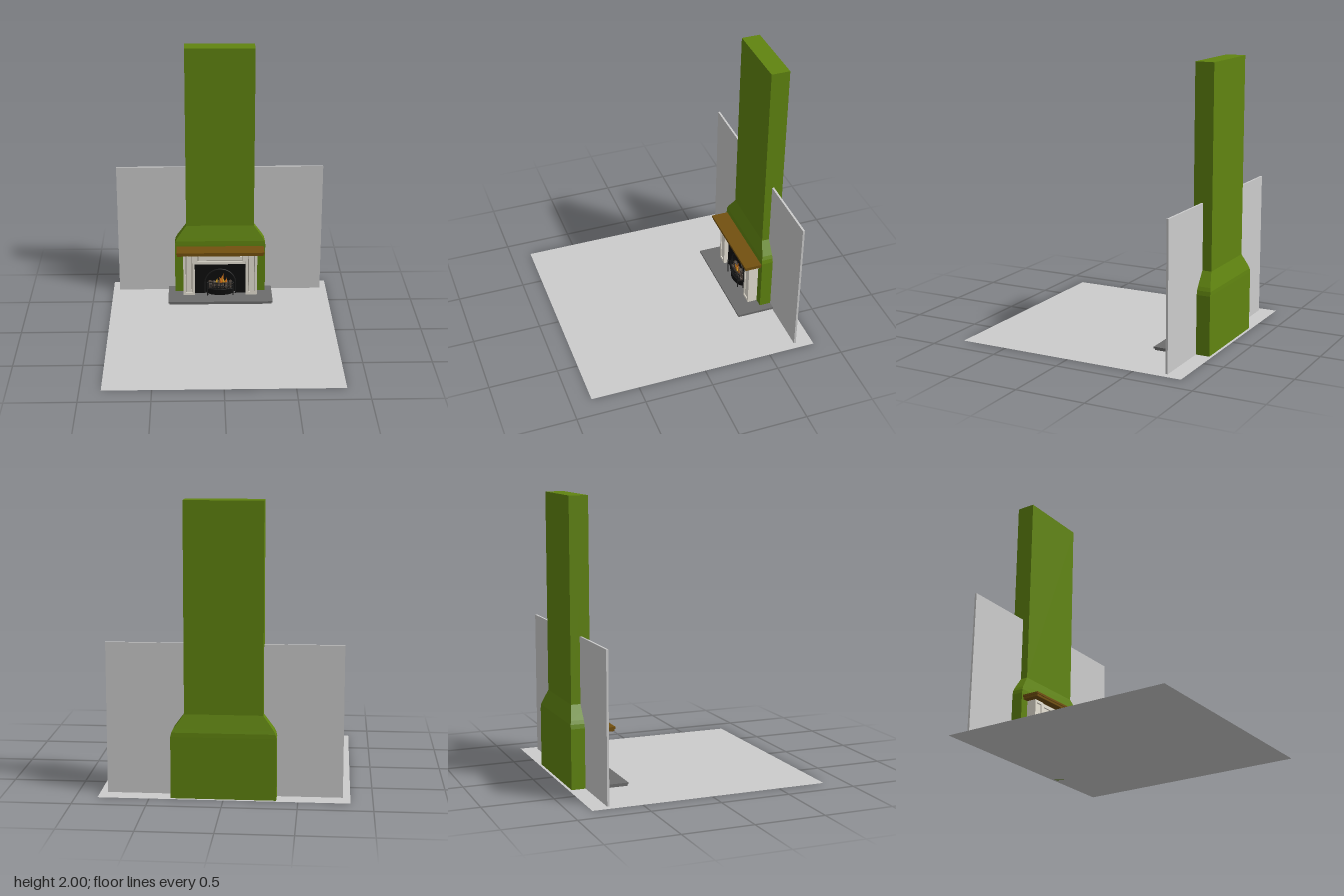
import * as THREE from 'three';

const mat = (color, opts = {}) => new THREE.MeshStandardMaterial({ color, ...opts });
const GREY = mat(0xcccccc, { side: THREE.DoubleSide });
const GREEN = mat(0x608410, { flatShading: true });
const WOOD = mat(0x73500f);
const SLATE = mat(0x6c6c6c);
const CREAM = mat(0xe8e3d6);
const GROOVE = mat(0x9d988c);
const BLACK = mat(0x0e0e0e, { side: THREE.DoubleSide });
const IRON = mat(0x1c1c1c);
const COAL = mat(0x4a4038, { flatShading: true });

function add(parent, name, geometry, material, x = 0, y = 0, z = 0) {
  const mesh = new THREE.Mesh(geometry, material);
  mesh.name = name;
  mesh.position.set(x, y, z);
  parent.add(mesh);
  return mesh;
}

// Box given by its limits on each axis
function box(parent, name, material, [x0, x1], [y0, y1], [z0, z1]) {
  return add(parent, name, new THREE.BoxGeometry(x1 - x0, y1 - y0, z1 - z0), material,
    (x0 + x1) / 2, (y0 + y1) / 2, (z0 + z1) / 2);
}

// Closed loft through rectangular sections [y, halfWidth, zFront, zBack]
function loftRects(sections) {
  const pos = [], idx = [];
  for (const [y, w, f, b] of sections) pos.push(-w, y, f, w, y, f, w, y, b, -w, y, b);
  const n = sections.length;
  for (let i = 0; i < n - 1; i++) {
    for (let j = 0; j < 4; j++) {
      const a = i * 4 + j, b = i * 4 + (j + 1) % 4;
      idx.push(a, b, b + 4, a, b + 4, a + 4);
    }
  }
  const t = (n - 1) * 4;
  idx.push(t, t + 1, t + 2, t, t + 2, t + 3, 0, 2, 1, 0, 3, 2);
  const g = new THREE.BufferGeometry();
  g.setAttribute('position', new THREE.Float32BufferAttribute(pos, 3));
  g.setIndex(idx);
  const flat = g.toNonIndexed();
  flat.computeVertexNormals();
  return flat;
}

function rectPath(path, x0, x1, y0, y1) {
  path.moveTo(x0, y0);
  path.lineTo(x1, y0);
  path.lineTo(x1, y1);
  path.lineTo(x0, y1);
  path.closePath();
  return path;
}

// Framed panel: frame with a hole, a sunk groove and a raised field
function framedPanel(name, [x0, x1], [y0, y1], [z0, z1], border) {
  const g = new THREE.Group();
  g.name = name;
  const shape = rectPath(new THREE.Shape(), x0, x1, y0, y1);
  shape.holes.push(rectPath(new THREE.Path(), x0 + border, x1 - border, y0 + border, y1 - border));
  add(g, 'panelFrame', new THREE.ExtrudeGeometry(shape, { depth: z1 - z0, bevelEnabled: false }), CREAM, 0, 0, z0);
  const inset = (m) => [[x0 + m, x1 - m], [y0 + m, y1 - m]];
  box(g, 'panelGroove', GROOVE, ...inset(border - 0.002), [z0, z1 - 0.01]);
  box(g, 'panelField', CREAM, ...inset(border + 0.006), [z0 + 0.005, z1 - 0.004]);
  return g;
}

function rod(parent, name, a, b, r) {
  const curve = new THREE.LineCurve3(new THREE.Vector3(...a), new THREE.Vector3(...b));
  return add(parent, name, new THREE.TubeGeometry(curve, 1, r, 8), IRON);
}

function buildFireback() {
  const g = new THREE.Group();
  g.name = 'fireback';
  // Plate with an arched opening
  const plate = rectPath(new THREE.Shape(), -0.205, 0.205, 0.02, 0.29);
  const arch = new THREE.Path();
  arch.moveTo(-0.12, 0.025);
  arch.lineTo(0.12, 0.025);
  arch.lineTo(0.12, 0.11);
  arch.absarc(0, 0.11, 0.12, 0, Math.PI, false);
  arch.closePath();
  plate.holes.push(arch);
  add(g, 'archPlate', new THREE.ExtrudeGeometry(plate, { depth: 0.03, bevelEnabled: false, curveSegments: 20 }), BLACK, 0, 0, -0.62);
  add(g, 'archTrim', new THREE.TorusGeometry(0.122, 0.005, 8, 28, Math.PI), IRON, 0, 0.11, -0.589);
  for (const s of [-1, 1]) rod(g, 'archTrimSide', [s * 0.122, 0.025, -0.589], [s * 0.122, 0.11, -0.589], 0.005);
  box(g, 'nicheBack', BLACK, [-0.2, 0.2], [0.02, 0.285], [-0.629, -0.621]);
  return g;
}

function buildGrate() {
  const g = new THREE.Group();
  g.name = 'fireGrate';
  // Bowed front: z as a function of x
  const bow = (x) => -0.548 - 2.2 * x * x;
  const line = (y) => new THREE.CatmullRomCurve3(
    [-0.1, -0.05, 0, 0.05, 0.1].map((x) => new THREE.Vector3(x, y, bow(x))));
  for (const y of [0.075, 0.1, 0.13]) add(g, 'grateRail', new THREE.TubeGeometry(line(y), 16, 0.003, 6), IRON);
  for (let i = -5; i <= 5; i++) {
    const x = i * 0.0185;
    rod(g, 'grateBar', [x, 0.072, bow(x)], [x, 0.132, bow(x)], 0.0022);
  }
  // Ash cover beneath the bars
  const cover = new THREE.Shape();
  cover.moveTo(-0.11, 0.61);
  cover.lineTo(0.11, 0.61);
  cover.quadraticCurveTo(0.09, 0.55, 0, 0.55);
  cover.quadraticCurveTo(-0.09, 0.55, -0.11, 0.61);
  const coverGeo = new THREE.ExtrudeGeometry(cover, { depth: 0.045, bevelEnabled: false });
  coverGeo.rotateX(-Math.PI / 2);
  add(g, 'ashCover', coverGeo, BLACK, 0, 0.023, 0);
  // End posts with finials
  for (const s of [-1, 1]) {
    rod(g, 'gratePost', [s * 0.1, 0.02, -0.55], [s * 0.1, 0.128, -0.55], 0.005);
    add(g, 'finial', new THREE.SphereGeometry(0.007, 10, 8), IRON, s * 0.1, 0.134, -0.55);
  }
  // Coal bed
  for (let i = 0; i < 18; i++) {
    const x = -0.08 + (i % 6) * 0.032;
    const row = Math.floor(i / 6);
    const coal = add(g, 'coal', new THREE.DodecahedronGeometry(0.017), COAL,
      x, 0.085 + row * 0.015, -0.585 - row * 0.008 + 0.004 * Math.sin(i * 5));
    coal.rotation.set(i, i * 2.1, i * 0.7);
  }
  return g;
}

function buildFlames() {
  const g = new THREE.Group();
  g.name = 'flames';
  const profile = [[0, 0], [0.7, 0.12], [1, 0.3], [0.75, 0.55], [0.3, 0.8], [0, 1]]
    .map(([r, y]) => new THREE.Vector2(r, y));
  const tongue = new THREE.LatheGeometry(profile, 10);
  // Lean the tip sideways
  const p = tongue.attributes.position;
  for (let i = 0; i < p.count; i++) p.setX(i, p.getX(i) + 0.5 * Math.sin(p.getY(i) * 5));
  tongue.computeVertexNormals();
  const orange = mat(0xd9761a), yellow = mat(0xf0b428);
  [[-0.025, 0.05, 0.008, yellow], [0, 0.065, 0.01, orange], [0.018, 0.088, 0.013, orange],
    [0.024, 0.055, 0.008, yellow], [0.048, 0.05, 0.009, orange]].forEach(([x, h, r, m], i) => {
    const f = add(g, 'flame', tongue, m, x, 0.112, -0.582 + (i % 2) * 0.008);
    f.scale.set(i % 2 ? r : -r, h, r * 0.6);
    if (!(i % 2)) { f.scale.x = r; f.rotation.y = Math.PI; }
  });
  return g;
}

export function createModel() {
  const model = new THREE.Group();
  model.name = 'fireplaceRoom';

  // Room surfaces
  add(model, 'floor', new THREE.PlaneGeometry(1.7, 1.7).rotateX(-Math.PI / 2), GREY);
  box(model, 'wall', GREY, [-0.8, 0.8], [0, 1.045], [-0.73, -0.715]);

  // Chimney breast narrowing into the stack
  add(model, 'chimney', loftRects([
    [0, 0.355, -0.63, -0.83],
    [0.425, 0.355, -0.63, -0.83],
    [0.455, 0.348, -0.631, -0.829],
    [0.48, 0.335, -0.637, -0.822],
    [0.575, 0.265, -0.66, -0.797],
    [2, 0.265, -0.66, -0.797],
  ]), GREEN);

  // Hearth slab with a projecting top edge
  box(model, 'hearthBase', SLATE, [-0.4, 0.4], [0, 0.013], [-0.72, -0.44]);
  box(model, 'hearthTop', SLATE, [-0.408, 0.408], [0.013, 0.025], [-0.72, -0.433]);

  // Surround and mantel
  const surround = new THREE.Group();
  surround.name = 'surround';
  for (const [x0, x1] of [[-0.29, -0.2], [0.2, 0.29]]) {
    surround.add(framedPanel('pilaster', [x0, x1], [0.025, 0.38], [-0.63, -0.557], 0.019));
  }
  surround.add(framedPanel('lintel', [-0.2, 0.2], [0.285, 0.38], [-0.63, -0.566], 0.024));
  model.add(surround);
  box(model, 'mantelMoulding', WOOD, [-0.335, 0.335], [0.38, 0.396], [-0.632, -0.508]);
  box(model, 'mantelShelf', WOOD, [-0.342, 0.342], [0.396, 0.411], [-0.632, -0.502]);

  // Fire
  model.add(buildFireback(), buildGrate(), buildFlames());
  return model;
}
